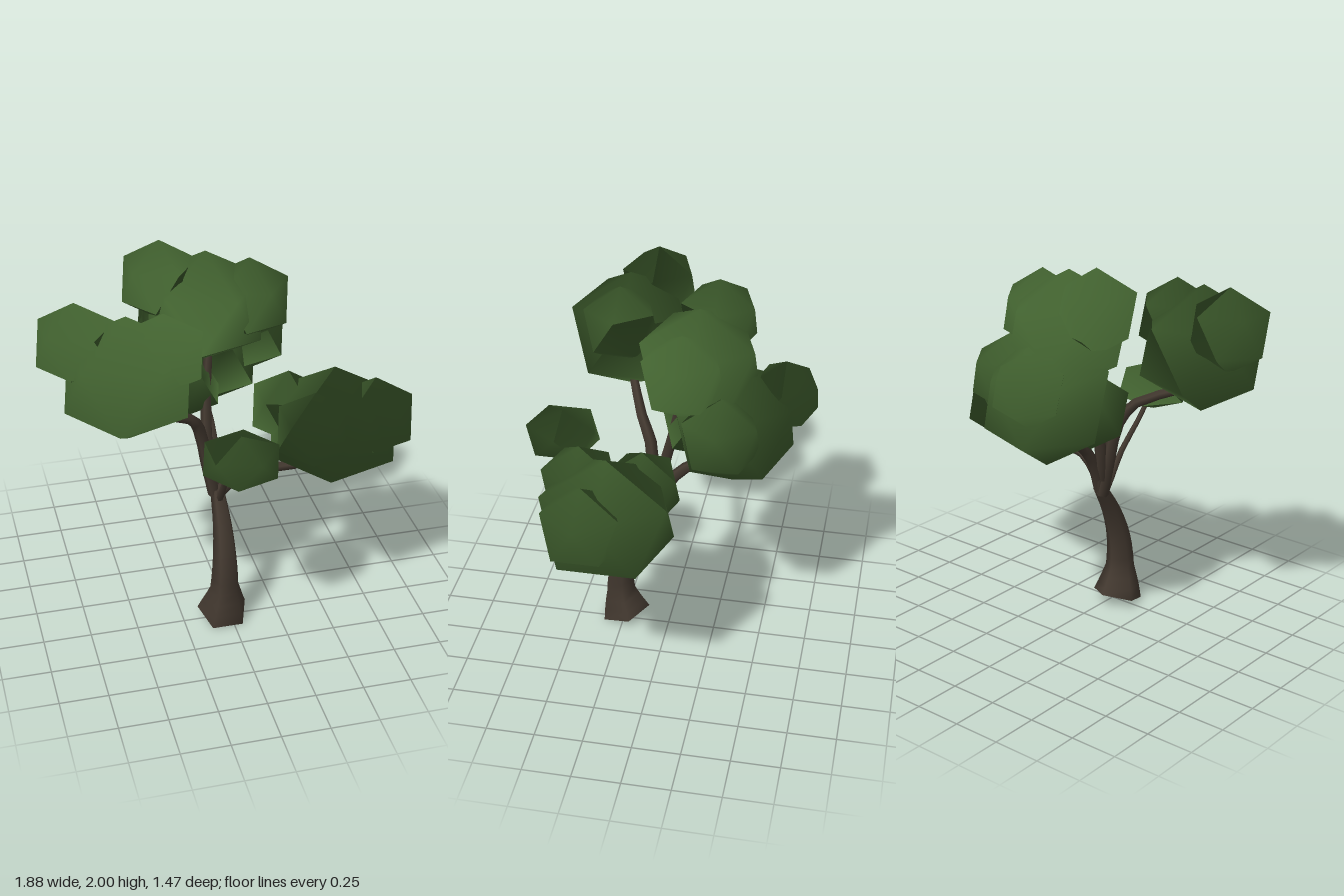
import * as THREE from 'three';

const bark = new THREE.MeshStandardMaterial({ color: 0x42382f });
bark.name = 'bark brown';
const leaf = new THREE.MeshStandardMaterial({ color: 0x41612f });
leaf.name = 'leaf green';

const SIDES = 5;

// Tapered five-sided limb through stations [x, y, z, radius]; startDir tilts the first ring
function limb(name, stations, steps, startDir) {
  const curve = new THREE.CatmullRomCurve3(stations.map(([x, y, z]) => new THREE.Vector3(x, y, z)));
  const pos = [], idx = [];
  const last = stations.length - 1;
  const axisX = new THREE.Vector3(1, 0, 0);
  const axisZ = new THREE.Vector3(0, 0, 1);
  for (let i = 0; i <= steps; i++) {
    const t = i / steps;
    const p = curve.getPoint(t);
    const k = Math.min(Math.floor(t * last), last - 1);
    const r = THREE.MathUtils.lerp(stations[k][3], stations[k + 1][3], t * last - k);
    const dir = i === 0 && startDir ? startDir.clone().normalize() : curve.getTangent(t);
    // Minimal rotation from vertical keeps the rings from twisting
    const q = new THREE.Quaternion().setFromUnitVectors(new THREE.Vector3(0, 1, 0), dir);
    const u = axisX.clone().applyQuaternion(q);
    const w = axisZ.clone().applyQuaternion(q);
    for (let j = 0; j < SIDES; j++) {
      const a = (j / SIDES) * Math.PI * 2;
      const v = p.clone().addScaledVector(u, r * Math.sin(a)).addScaledVector(w, -r * Math.cos(a));
      pos.push(v.x, v.y, v.z);
    }
  }
  for (let i = 0; i < steps; i++) {
    for (let j = 0; j < SIDES; j++) {
      const a = i * SIDES + j, b = i * SIDES + (j + 1) % SIDES;
      idx.push(a, a + SIDES, b, b, a + SIDES, b + SIDES);
    }
  }
  // Flat caps with their own vertices
  for (const ring of [0, steps]) {
    const base = pos.length / 3;
    pos.push(...pos.slice(ring * SIDES * 3, (ring + 1) * SIDES * 3));
    for (let j = 1; j < SIDES - 1; j++) {
      if (ring === 0) idx.push(base, base + j, base + j + 1);
      else idx.push(base, base + j + 1, base + j);
    }
  }
  const g = new THREE.BufferGeometry();
  g.setAttribute('position', new THREE.Float32BufferAttribute(pos, 3));
  g.setIndex(idx);
  g.computeVertexNormals();
  const mesh = new THREE.Mesh(g, bark);
  mesh.name = name;
  return mesh;
}

// Middle of the crown; leaf normals fan out from here so the crown shades as one mass
const CROWN = new THREE.Vector3(0, 1.38, 0);

// Icosahedron standing on its poles
function leafClump(name, [x, y, z, r, h = 1]) {
  const g = new THREE.IcosahedronGeometry(1, 0);
  g.rotateX(-Math.atan((1 + Math.sqrt(5)) / 2));
  g.rotateY(Math.PI / 2);
  g.scale(r, r * h, r);
  g.translate(x, y, z);
  const p = g.attributes.position;
  const n = new THREE.Vector3();
  for (let i = 0; i < p.count; i++) {
    n.fromBufferAttribute(p, i).sub(CROWN).normalize();
    g.attributes.normal.setXYZ(i, n.x, n.y, n.z);
  }
  const mesh = new THREE.Mesh(g, leaf);
  mesh.name = name;
  return mesh;
}

// Leaf clumps: [x, y, z, radius, height factor]
const CLUMPS = {
  rightFoliage: [
    [-0.52, 1.53, 0.295, 0.347, 0.95], [-0.745, 1.69, 0.19, 0.217], [-0.345, 1.65, 0.315, 0.213],
  ],
  leftFoliage: [
    [0.55, 1.075, 0.2, 0.367, 0.9], [0.74, 1.14, 0.28, 0.222],
    [0.4, 1.155, 0.368, 0.213], [0.35, 1.13, 0.065, 0.208],
  ],
  frontFoliage: [[-0.028, 1.16, 0.56, 0.212, 0.62]],
  topFoliage: [
    [-0.03, 1.645, -0.15, 0.335, 0.9], [-0.25, 1.785, -0.21, 0.217], [0.183, 1.685, -0.1, 0.224],
  ],
  backFoliage: [
    [-0.03, 1.32, -0.33, 0.345], [-0.125, 1.455, -0.57, 0.192],
    [0.227, 1.39, -0.3, 0.217], [-0.15, 1.24, -0.13, 0.21],
  ],
};

// Branches: stations [x, y, z, radius] starting at the fork
const BRANCHES = {
  rightBranch: [
    [-0.045, 0.68, 0.1, 0.035], [-0.085, 0.88, 0.1, 0.035],
    [-0.13, 1.09, 0.12, 0.033], [-0.2, 1.2, 0.18, 0.028], [-0.45, 1.31, 0.28, 0.022],
  ],
  leftBranch: [
    [-0.03, 0.69, 0.11, 0.034], [0.04, 0.78, 0.14, 0.033],
    [0.15, 0.845, 0.17, 0.028], [0.35, 0.86, 0.2, 0.024], [0.5, 0.92, 0.2, 0.02],
  ],
  topBranch: [
    [-0.035, 0.69, 0.1, 0.032], [-0.07, 0.95, 0.05, 0.032],
    [-0.06, 1.2, -0.01, 0.028], [-0.03, 1.5, -0.07, 0.022],
  ],
  backBranch: [
    [-0.03, 0.69, 0.1, 0.034], [-0.03, 0.88, 0.03, 0.033],
    [-0.03, 1.03, -0.1, 0.03], [-0.03, 1.12, -0.3, 0.022],
  ],
  frontBranch: [
    [-0.03, 0.64, 0.12, 0.018], [-0.03, 0.74, 0.19, 0.018],
    [-0.03, 0.87, 0.28, 0.016], [-0.03, 1.0, 0.42, 0.014], [-0.03, 1.12, 0.53, 0.012],
  ],
};

export function createModel() {
  const tree = new THREE.Group();
  tree.name = 'tree';

  // Bowed trunk with a flared, tilted foot
  tree.add(limb('trunk', [
    [-0.036, 0.038, 0.245, 0.137], [-0.03, 0.2, 0.272, 0.08], [-0.027, 0.37, 0.26, 0.067],
    [-0.025, 0.54, 0.2, 0.053], [-0.03, 0.71, 0.095, 0.038],
  ], 12, new THREE.Vector3(0, 0.95, 0.3)));

  for (const [name, stations] of Object.entries(BRANCHES)) tree.add(limb(name, stations, 8));

  for (const [name, clumps] of Object.entries(CLUMPS)) {
    const group = new THREE.Group();
    group.name = name;
    clumps.forEach((clump, i) => group.add(leafClump('leafClump' + (i + 1), clump)));
    tree.add(group);
  }
  return tree;
}
